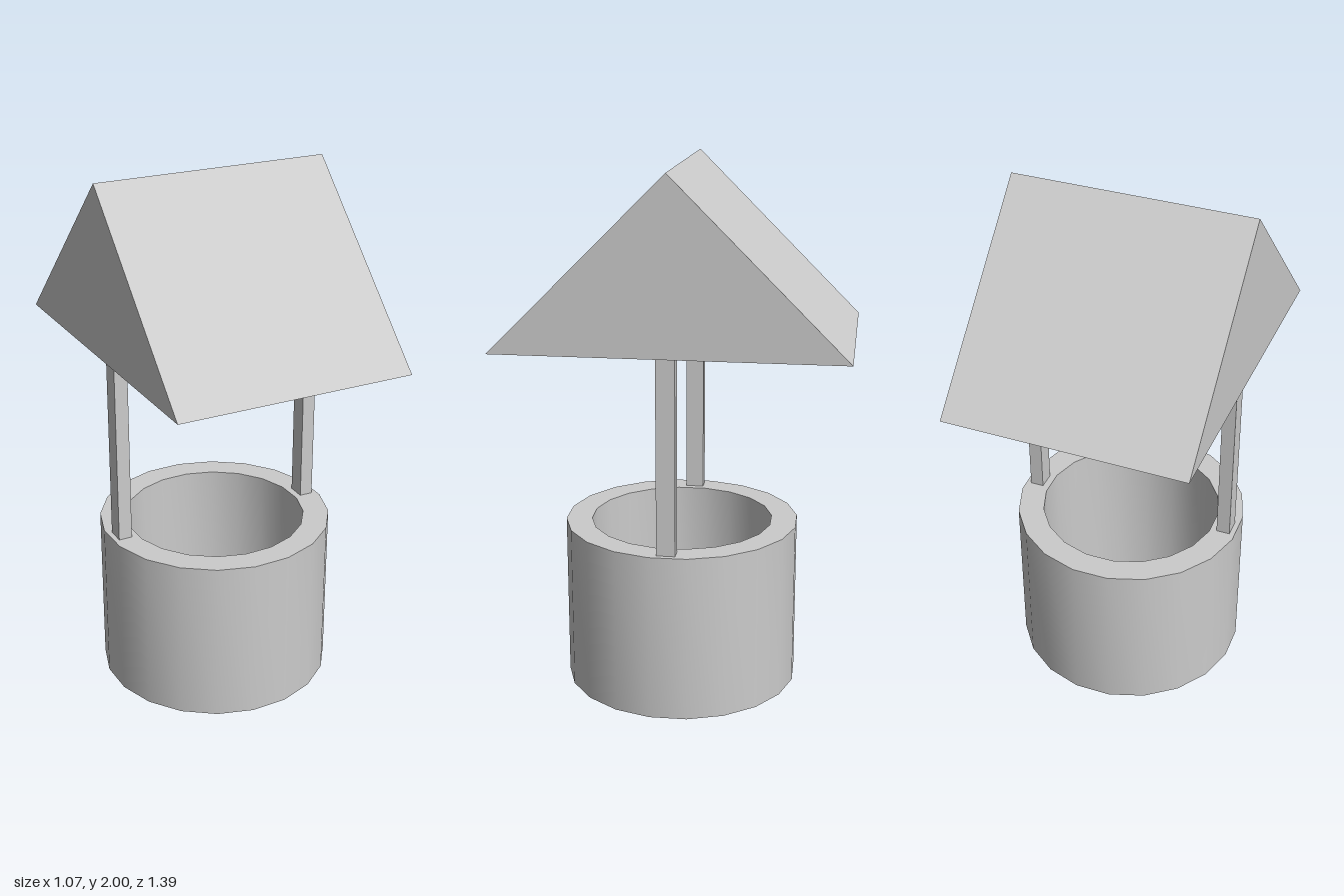
import * as THREE from 'three';
import { toCreasedNormals } from 'three/addons/utils/BufferGeometryUtils.js';

const WALL_H = 0.635, EAVES = 1.365, ROOF_H = 0.635, ROOF_HALF = 0.638;
const ROOF_LEN = 0.903, GABLE = 0.105, TURN = 0.136;

export function createModel() {
  const model = new THREE.Group();
  model.name = 'well';
  const grey = new THREE.MeshStandardMaterial({ color: 0xcccccc });
  const greyOpen = new THREE.MeshStandardMaterial({ color: 0xcccccc, side: THREE.DoubleSide });

  const add = (parent, name, geometry, x, y, z, material = grey) => {
    const mesh = new THREE.Mesh(geometry, material);
    mesh.name = name;
    mesh.position.set(x, y, z);
    parent.add(mesh);
    return mesh;
  };

  // Round wall: outer skin, flat rim and inner skin, open underneath
  const profile = [[0.447, 0], [0.447, WALL_H], [0.348, WALL_H], [0.348, 0]]
    .map(([r, y]) => new THREE.Vector2(r, y));
  const wall = toCreasedNormals(new THREE.LatheGeometry(profile, 20), 0.7);
  add(model, 'wellWall', wall, 0.008, 0, 0.007, greyOpen);

  // Two posts on the rim and the bar between their tops
  const frame = new THREE.Group();
  frame.name = 'frame';
  frame.position.set(0.008, 0, 0.007);
  frame.rotation.y = TURN;
  model.add(frame);
  for (const side of [-1, 1]) {
    const post = new THREE.BoxGeometry(0.052, EAVES - WALL_H, 0.069);
    add(frame, side > 0 ? 'leftPost' : 'rightPost', post, side * 0.396, (EAVES + WALL_H) / 2, 0);
  }
  add(frame, 'crossbar', new THREE.BoxGeometry(0.7, 0.05, 0.069), 0, EAVES + 0.027, 0);

  // Roof: a hollow middle closed by a solid gable at each end
  const roof = new THREE.Group();
  roof.name = 'roof';
  roof.position.y = EAVES;
  roof.rotation.y = TURN;
  model.add(roof);
  const slab = (points, length) => {
    const shape = new THREE.Shape(points.map(([z, y]) => new THREE.Vector2(z, y)));
    return new THREE.ExtrudeGeometry(shape, { depth: length, bevelEnabled: false })
      .translate(0, 0, -length / 2)
      .rotateY(Math.PI / 2);
  };
  const hollow = [[-ROOF_HALF, 0], [-0.5, 0], [-0.5, 0.1], [0, 0.57], [0.5, 0.1], [0.5, 0],
    [ROOF_HALF, 0], [0, ROOF_H]];
  const solid = [[-ROOF_HALF, 0], [ROOF_HALF, 0], [0, ROOF_H]];
  add(roof, 'roofSlopes', slab(hollow, ROOF_LEN - 2 * GABLE), 0, 0, 0);
  for (const side of [-1, 1]) {
    add(roof, side > 0 ? 'leftGable' : 'rightGable', slab(solid, GABLE),
      side * (ROOF_LEN - GABLE) / 2, 0, 0);
  }

  return model;
}
